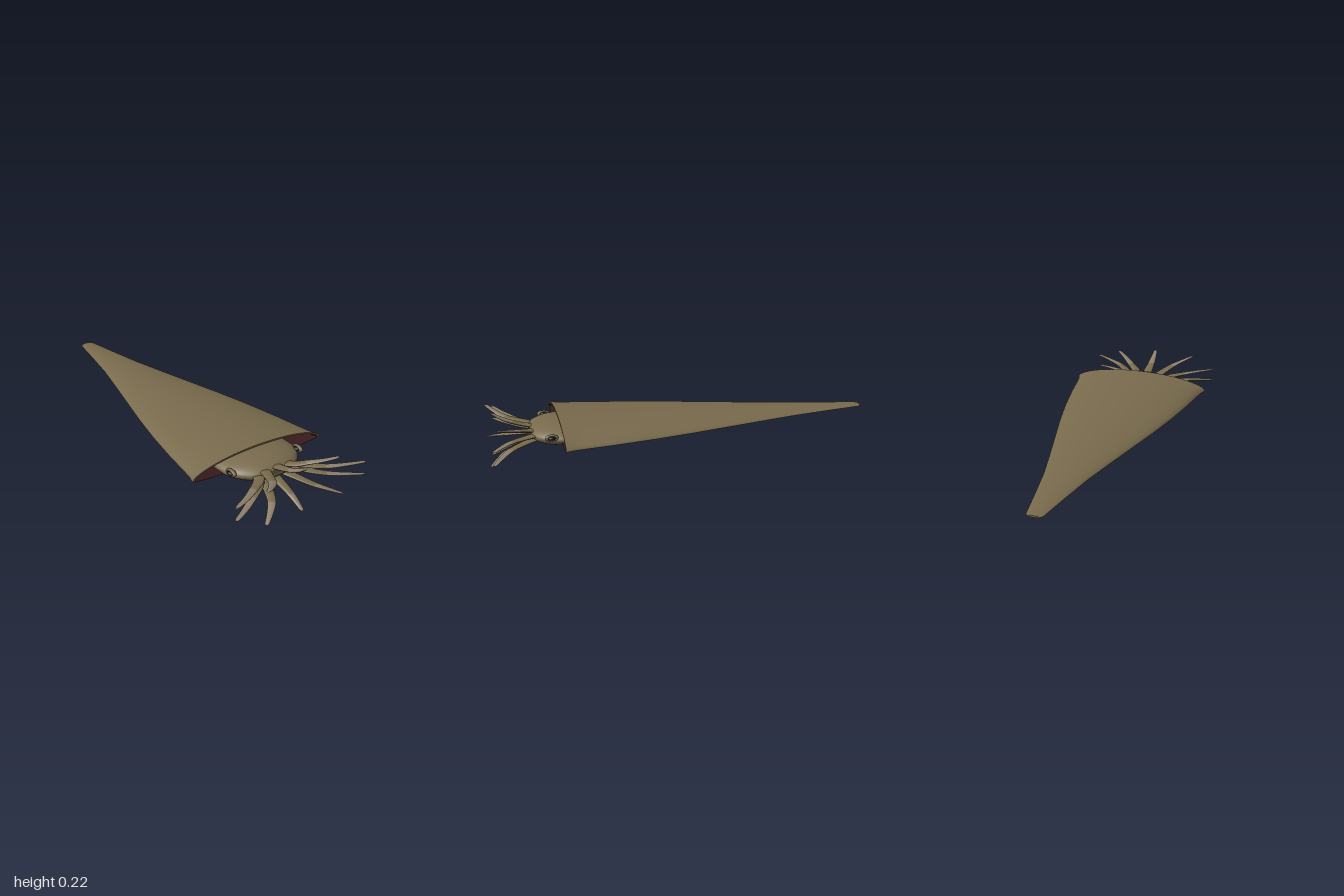
import * as THREE from 'three';

const mat = (name, color, extra = {}) => {
  const m = new THREE.MeshStandardMaterial({ color, ...extra });
  m.name = name;
  return m;
};

// Skin a list of rings (counter-clockwise seen from +z, ordered towards +z).
function loft(rings, { closed = true, flip = false, capStart = false, capEnd = false } = {}) {
  const n = rings[0].length, pos = [], idx = [];
  const tri = (a, b, c) => (flip ? idx.push(a, c, b) : idx.push(a, b, c));
  rings.forEach(r => r.forEach(p => pos.push(p.x, p.y, p.z)));
  for (let i = 0; i < rings.length - 1; i++) {
    for (let j = 0; j < (closed ? n : n - 1); j++) {
      const k = (j + 1) % n, a = i * n + j, b = i * n + k;
      tri(a, b, a + n);
      tri(b, b + n, a + n);
    }
  }
  const cap = (ring, front) => {
    const s = pos.length / 3;
    ring.forEach(p => pos.push(p.x, p.y, p.z));
    for (let j = 1; j < n - 1; j++) front ? tri(s, s + j, s + j + 1) : tri(s, s + j + 1, s + j);
  };
  if (capStart) cap(rings[0], false);
  if (capEnd) cap(rings[rings.length - 1], true);
  const g = new THREE.BufferGeometry();
  g.setAttribute('position', new THREE.Float32BufferAttribute(pos, 3));
  g.setIndex(idx);
  g.computeVertexNormals();
  return g;
}

export function createModel() {
  const model = new THREE.Group();
  model.name = 'shelledCephalopod';
  const olive = mat('olive shell and skin', 0x796b4d);
  const taupe = mat('pale taupe skin', 0x8c7e69);
  const maroon = mat('dark maroon lining', 0x38191b);
  const black = mat('eye black', 0x17120e);
  const add = (parent, name, geo, material) => {
    const m = new THREE.Mesh(geo, material);
    m.name = name;
    parent.add(m);
    return m;
  };

  // Flattened conical shell: [z, half width]
  const outline = [[-1, 0.03], [-0.985, 0.041], [-0.95, 0.047], [-0.8, 0.073], [-0.6, 0.11], [-0.4, 0.158],
    [-0.2, 0.208], [0, 0.258], [0.2, 0.302], [0.4, 0.338], [0.55, 0.36], [0.61, 0.37], [0.65, 0.385]];
  const EDGE = 0.124;
  const shellRing = ([z, w], sx = 1, sy = 1) => {
    const t = (z + 1) / 1.65, ring = [];
    const up = 0.006 + 0.071 * t, down = 0.003 + 0.017 * t;
    for (let j = 0; j < 64; j++) {
      const a = (j / 64) * Math.PI * 2, s = Math.sin(a);
      const h = s > 0 ? up * Math.pow(s, 1.15) : -down * Math.pow(-s, 1.15);
      ring.push(new THREE.Vector3(w * sx * Math.cos(a), EDGE + h * sy, z));
    }
    return ring;
  };
  const inner = p => shellRing(p, 0.96, 0.88);
  const mouth = outline[outline.length - 1];
  add(model, 'shell', loft(outline.map(p => shellRing(p)), { capStart: true }), olive);
  add(model, 'shellLip', loft([shellRing(mouth), inner(mouth)]), olive);
  add(model, 'shellLining', loft(outline.map(inner), { flip: true }), maroon);

  // Head: upper skin and paler belly, [z, half width, half height]
  const headProfile = [[0.585, 0.214, 0.054], [0.65, 0.212, 0.055], [0.69, 0.2, 0.053], [0.73, 0.175, 0.048],
    [0.765, 0.14, 0.039], [0.785, 0.105, 0.028], [0.792, 0.07, 0.018]];
  const headArc = (from, to) => headProfile.map(([z, w, h]) => Array.from({ length: 33 }, (_, j) => {
    const a = from + (to - from) * j / 32;
    return new THREE.Vector3(w * Math.cos(a), 0.12 + h * Math.sin(a), z);
  }));
  const SPLIT = 0.35;
  const caps = { closed: false, capStart: true, capEnd: true };
  add(model, 'headTop', loft(headArc(-SPLIT, Math.PI + SPLIT), caps), olive);
  add(model, 'headBelly', loft(headArc(Math.PI + SPLIT, Math.PI * 2 - SPLIT), caps), taupe);

  // Funnel under the head
  const funnel = add(model, 'funnel', new THREE.CylinderGeometry(0.035, 0.055, 0.17, 24), taupe);
  funnel.rotation.x = Math.PI / 2;
  funnel.scale.z = 0.35;
  funnel.position.set(0, 0.08, 0.672);

  // Eyes with a raised lid
  for (const side of [-1, 1]) {
    const eye = new THREE.Group();
    eye.name = side > 0 ? 'leftEye' : 'rightEye';
    eye.position.set(side * 0.2, 0.137, 0.698);
    eye.rotation.y = side * Math.PI / 2;
    eye.scale.y = 0.5;
    add(eye, 'eyelid', new THREE.TorusGeometry(0.024, 0.01, 12, 28), olive);
    add(eye, 'eyeball', new THREE.SphereGeometry(0.021, 20, 14), black);
    model.add(eye);
  }

  // Ten arms around the mouth, flattened like the body
  const arms = new THREE.Group();
  arms.name = 'arms';
  arms.position.y = 0.1125;
  arms.scale.y = 0.28;
  model.add(arms);
  const tipZ = [0.972, 0.95, 0.985, 0.985, 0.992, 0.972, 0.994, 0.955, 0.955, 0.994];
  tipZ.forEach((z, k) => {
    const curve = new THREE.CatmullRomCurve3([[0.09, 0.75], [0.135, 0.81], [0.215, z - 0.09], [0.3, z - 0.04], [0.386, z]]
      .map(([r, pz]) => new THREE.Vector3(r, 0, pz)));
    const rings = Array.from({ length: 21 }, (_, i) => {
      const t = i / 20, p = curve.getPoint(t), d = curve.getTangent(t);
      const r = (0.03 - 0.02 * t) * (i === 20 ? 0.7 : 1);
      const normal = new THREE.Vector3(d.z, 0, -d.x);
      return Array.from({ length: 14 }, (_, j) => {
        const a = (j / 14) * Math.PI * 2;
        return p.clone().addScaledVector(normal, r * Math.cos(a)).add(new THREE.Vector3(0, r * Math.sin(a), 0));
      });
    });
    const arm = new THREE.Group();
    arm.name = 'arm' + (k + 1);
    arm.rotation.z = Math.PI / 2 - k * Math.PI / 5;
    add(arm, 'armBase', loft(rings.slice(0, 11), { capStart: true }), olive);
    add(arm, 'armTip', loft(rings.slice(10), { capEnd: true }), taupe);
    arms.add(arm);
  });
  return model;
}
